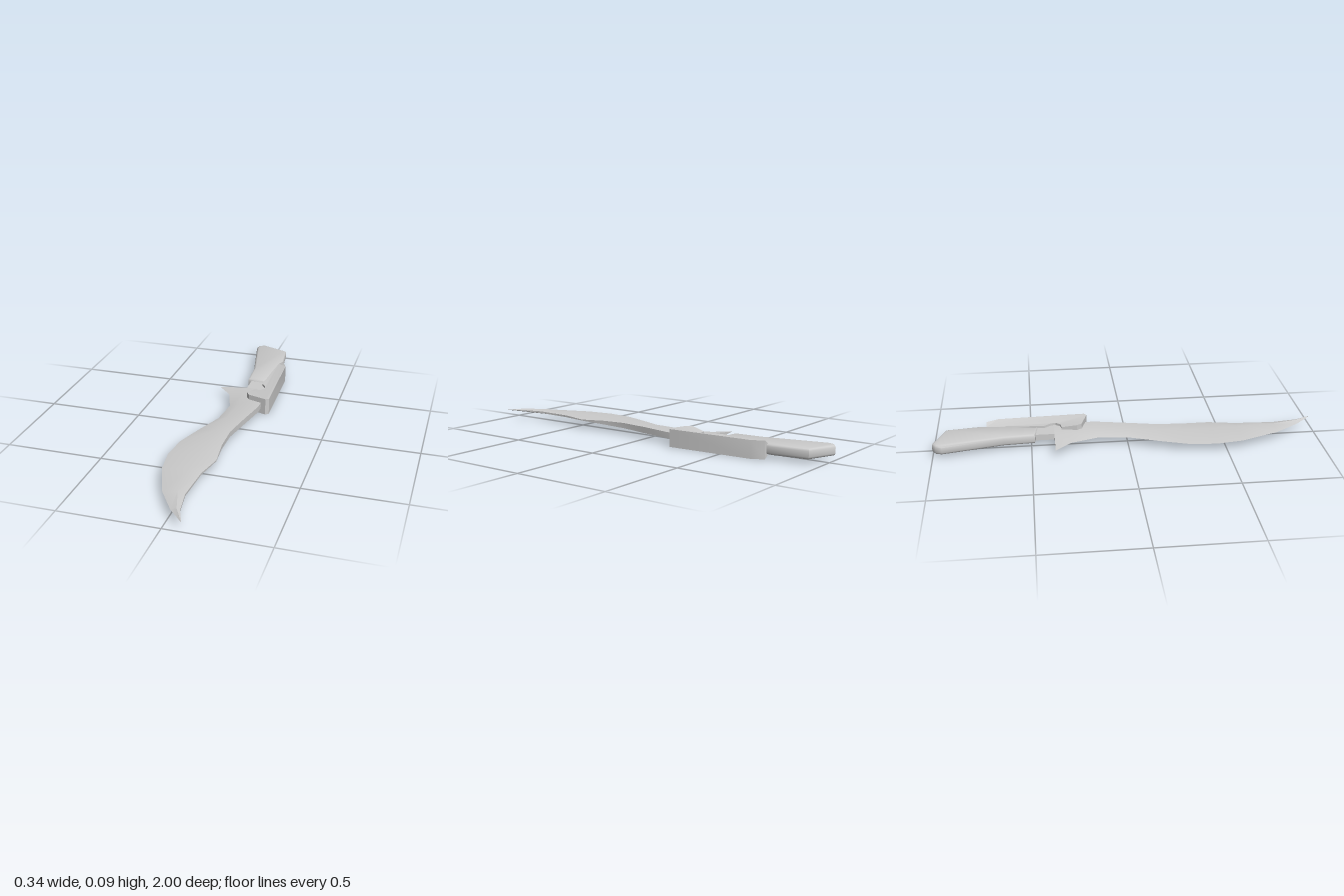
import * as THREE from 'three';
import { toCreasedNormals } from 'three/addons/utils/BufferGeometryUtils.js';

const MID = 0.046; // height of the flat plane the knife lies in
const material = new THREE.MeshStandardMaterial({ color: 0xcccccc });

function addMesh(group, name, geometry, crease = 0.6) {
  const mesh = new THREE.Mesh(toCreasedNormals(geometry, crease), material);
  mesh.name = name;
  group.add(mesh);
}

// Slab from an [x, z] outline, centred on the given height
function slab(outline, height, y, bevel) {
  const shape = new THREE.Shape(outline.map(([x, z]) => new THREE.Vector2(x, z)));
  const geometry = new THREE.ExtrudeGeometry(shape, {
    depth: height - 2 * bevel, bevelEnabled: bevel > 0, bevelThickness: bevel,
    bevelSize: bevel, bevelOffset: -bevel, bevelSegments: 2,
  });
  geometry.rotateX(Math.PI / 2);
  geometry.translate(0, y + height / 2 - bevel, 0);
  return geometry;
}

// Blade: five-sided sections with a sharp left edge, a ridge and a spine
function bladeGeometry() {
  // z, edge x, ridge x, spine x, ridge half thickness, spine half thickness
  const sections = [
    [-0.38, -0.155, 0, 0.11, 0.016, 0.016],
    [-0.30, -0.08, 0, 0.125, 0.016, 0.016],
    [-0.16, -0.035, 0.01, 0.122, 0.016, 0.016],
    [0, -0.05, 0, 0.09, 0.016, 0.016],
    [0.16, -0.11, -0.01, 0.06, 0.016, 0.014],
    [0.30, -0.157, -0.02, 0.06, 0.016, 0.01],
    [0.44, -0.17, -0.02, 0.075, 0.016, 0.003],
    [0.58, -0.15, -0.015, 0.045, 0.016, 0.005],
    [0.78, -0.075, 0.0, 0.035, 0.014, 0.005],
    [0.91, 0.01, 0.04, 0.056, 0.009, 0.003],
    [0.995, 0.089, 0.09, 0.091, 0.001, 0.001],
  ];
  const positions = [], index = [], n = 5;
  for (const [z, edge, ridge, spine, t, s] of sections) {
    positions.push(edge, MID, z, ridge, MID + t, z, spine, MID + s, z,
      spine, MID - s, z, ridge, MID - t, z);
  }
  for (let i = 0; i < sections.length - 1; i++) {
    for (let j = 0; j < n; j++) {
      const a = i * n + j, b = i * n + (j + 1) % n;
      index.push(a, a + n, b, b, a + n, b + n);
    }
  }
  const last = (sections.length - 1) * n;
  for (let j = 1; j < n - 1; j++) {
    index.push(0, j, j + 1, last, last + j + 1, last + j);
  }
  const geometry = new THREE.BufferGeometry();
  geometry.setAttribute('position', new THREE.Float32BufferAttribute(positions, 3));
  geometry.setIndex(index);
  return geometry;
}

export function createModel() {
  const group = new THREE.Group();
  group.name = 'knife';

  addMesh(group, 'blade', bladeGeometry(), 0.5);

  // Tang joining the blade to the grip
  const tang = new THREE.BoxGeometry(0.11, 0.032, 0.16);
  tang.translate(0.055, MID, -0.46);
  addMesh(group, 'tang', tang);

  // Grip, flaring towards the butt
  addMesh(group, 'grip', slab([
    [-0.02, -0.48], [-0.03, -0.64], [-0.095, -0.95], [-0.088, -0.98], [-0.06, -1],
    [0.09, -0.94], [0.112, -0.76], [0.075, -0.465],
  ], 0.052, 0.0475, 0.012), 0.9);

  // Hand guard: a long side bar with a hook around the root of the blade
  const guard = slab([
    [0.095, -0.73], [0.12, -0.73], [0.15, -0.67], [0.167, -0.215], [0.15, -0.203],
    [0.05, -0.235], [0.033, -0.26], [0.05, -0.34], [0.085, -0.345], [0.105, -0.37],
    [0.1, -0.395], [0.075, -0.43], [0.085, -0.6],
  ], 0.09, 0.045, 0);
  // Thin the inner edge of the bar so its faces slope down from the outside
  const p = guard.attributes.position;
  for (let i = 0; i < p.count; i++) {
    if (p.getZ(i) < -0.33 && p.getX(i) < 0.11) {
      p.setY(i, 0.045 + (p.getY(i) - 0.045) * 0.65);
    }
  }
  addMesh(group, 'handGuard', guard);

  return group;
}
